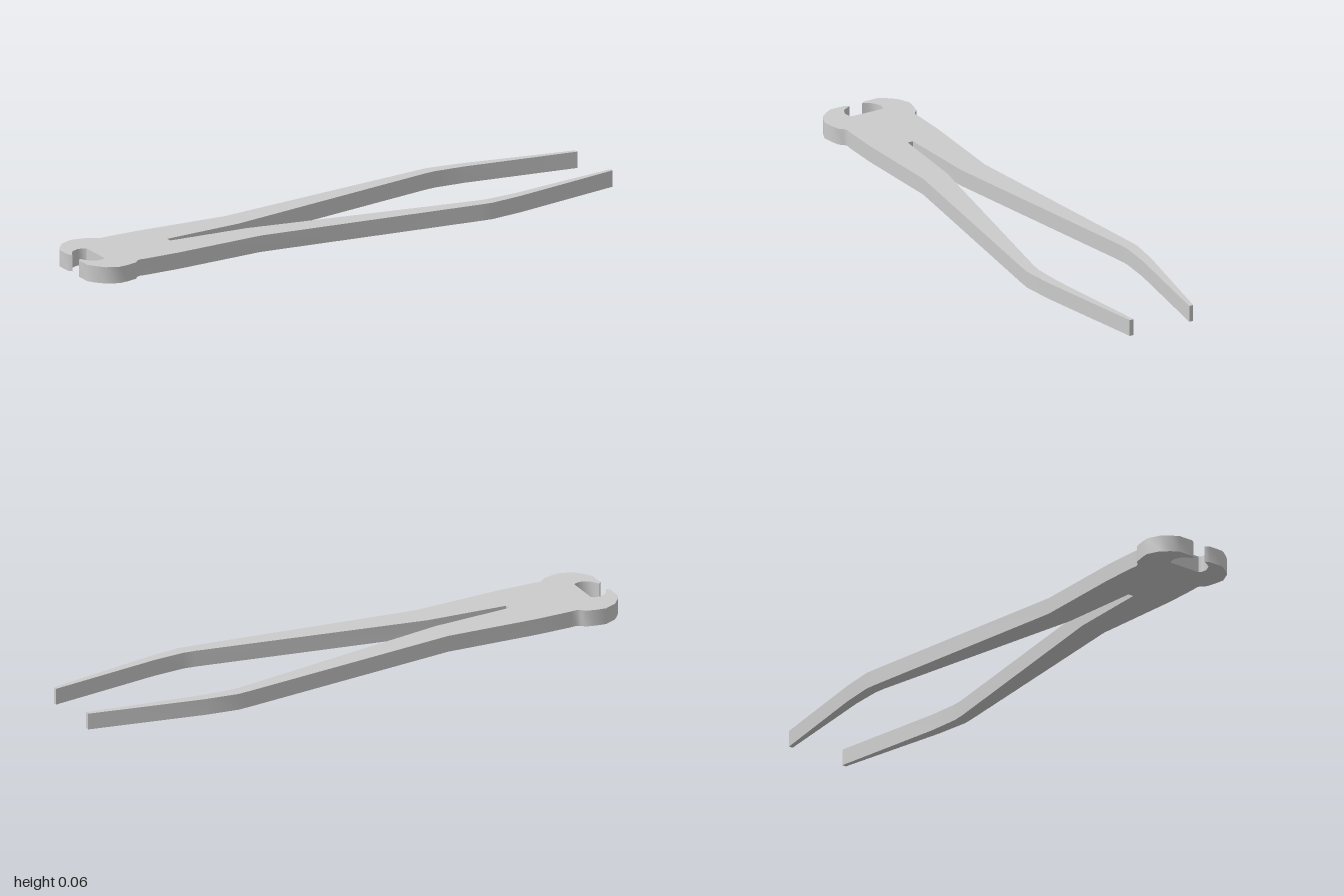
import * as THREE from 'three';
import { toCreasedNormals } from 'three/addons/utils/BufferGeometryUtils.js';

const THICKNESS = 0.057;

// Half outline [x, distance from centre line], from the jaw recess round to the slot end
const HALF = [
  // jaw recess and pointed jaw tip
  [-0.915, 0.058], [-0.925, 0.066], [-0.945, 0.068], [-0.97, 0.057], [-0.982, 0.04],
  [-0.99, 0.024], [-1, 0.036],
  // rounded outside of the jaw
  [-1, 0.091], [-0.985, 0.115], [-0.96, 0.144], [-0.917, 0.163], [-0.885, 0.159],
  [-0.848, 0.15], [-0.836, 0.137], [-0.824, 0.13],
  // outside of the body and handle
  [-0.8, 0.132], [-0.676, 0.133], [-0.35, 0.118], [0.44, 0.208], [0.485, 0.212],
  [0.6, 0.198], [1, 0.122],
  // inside of the handle back to the slot
  [1, 0.107], [0.6, 0.163], [0.49, 0.17], [0.45, 0.166], [-0.35, 0.027], [-0.634, 0.01],
];

export function createModel() {
  const group = new THREE.Group();
  group.name = 'pincers';

  // Mirror the half outline across the centre line into one closed shape
  const upper = HALF.map(([x, z]) => new THREE.Vector2(x, z));
  const lower = HALF.map(([x, z]) => new THREE.Vector2(x, -z)).reverse();
  const shape = new THREE.Shape([...upper, ...lower]);

  // Flat plate with jaws, body and both handles
  const geometry = new THREE.ExtrudeGeometry(shape, { depth: THICKNESS, bevelEnabled: false });
  geometry.rotateX(-Math.PI / 2);

  const material = new THREE.MeshStandardMaterial({ color: 0xcccccc });
  const plate = new THREE.Mesh(toCreasedNormals(geometry, 0.7), material);
  plate.name = 'jawsAndHandles';
  group.add(plate);
  return group;
}
